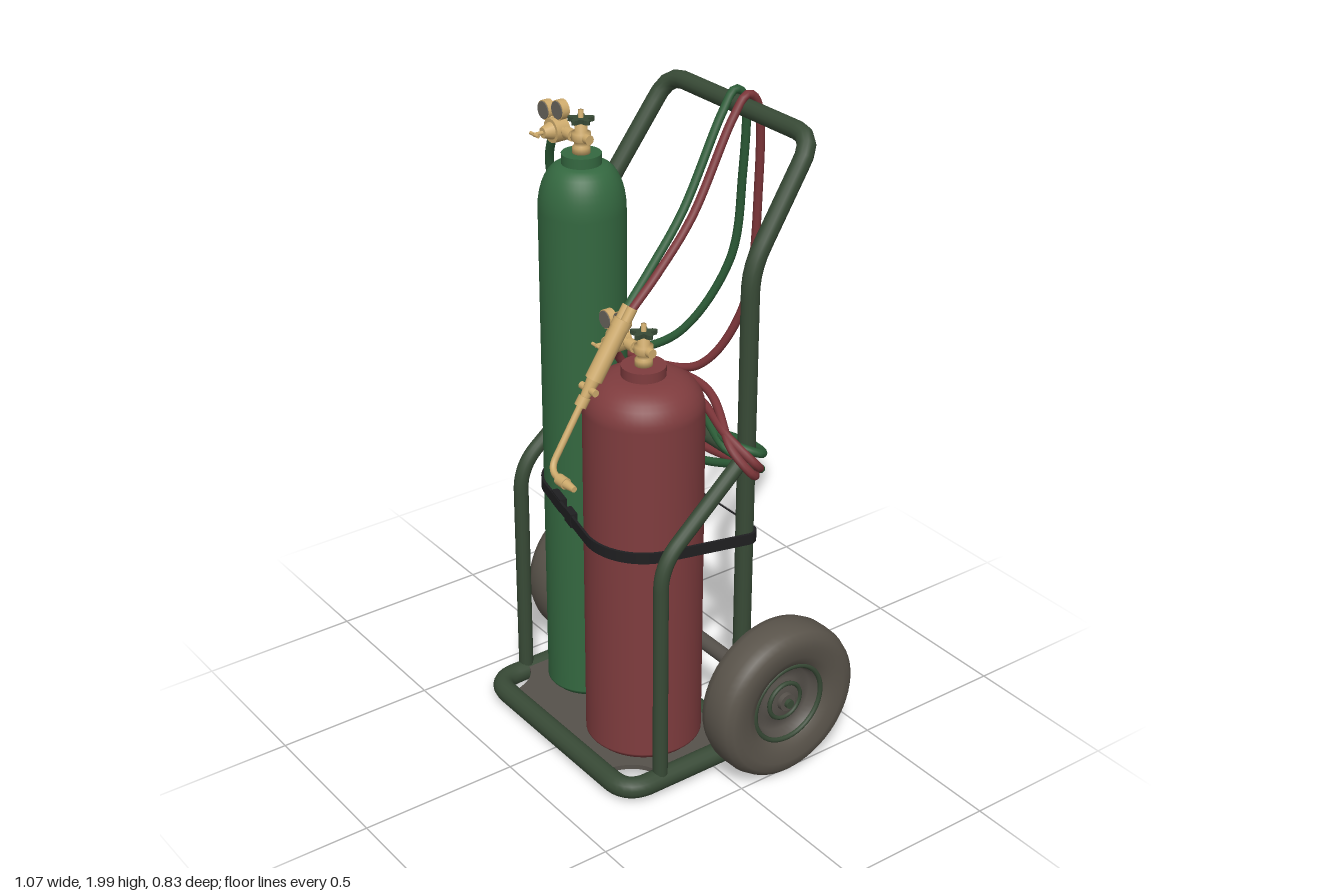
import * as THREE from 'three';

const mat = (name, color) => {
  const m = new THREE.MeshStandardMaterial({ color });
  m.name = name;
  return m;
};
const M = {
  frame: mat('frame green', 0x384a36),
  green: mat('cylinder green', 0x346840),
  red: mat('cylinder red', 0x7f3c3e),
  hoseGreen: mat('hose green', 0x2c5c37),
  hoseRed: mat('hose red', 0x7c3539),
  brass: mat('brass', 0xcdaa6c),
  tyre: mat('tyre grey', 0x5a544b),
  plate: mat('plate grey', 0x56514b),
  black: mat('strap black', 0x1f1f21),
  dial: mat('dial grey', 0x6a665e),
};
const V = (x, y, z) => new THREE.Vector3(x, y, z);

function add(parent, name, geo, material, pos = [0, 0, 0], rot = [0, 0, 0]) {
  const m = new THREE.Mesh(geo, material);
  m.name = name;
  m.position.set(...pos);
  m.rotation.set(...rot);
  parent.add(m);
  return m;
}

// Straight rod between two points
function rod(parent, name, a, b, r, material, r2 = r) {
  const d = b.clone().sub(a);
  const m = add(parent, name, new THREE.CylinderGeometry(r2, r, d.length(), 16), material);
  m.position.copy(a).addScaledVector(d, 0.5);
  m.quaternion.setFromUnitVectors(V(0, 1, 0), d.normalize());
  return m;
}

// Pipe through corner points, each corner rounded by a bend
function pipe(parent, name, pts, r, bend, material, closed = false) {
  const path = new THREE.CurvePath();
  const n = pts.length;
  const toward = (p, q) => p.clone().add(q.clone().sub(p).setLength(bend));
  let first = null, last = closed ? null : pts[0];
  for (let i = closed ? 0 : 1; i < (closed ? n : n - 1); i++) {
    const p = pts[i], a = toward(p, pts[(i + n - 1) % n]), b = toward(p, pts[(i + 1) % n]);
    if (last) path.add(new THREE.LineCurve3(last, a));
    else first = a;
    path.add(new THREE.QuadraticBezierCurve3(a, p, b));
    last = b;
  }
  path.add(new THREE.LineCurve3(last, closed ? first : pts[n - 1]));
  return add(parent, name, new THREE.TubeGeometry(path, 140, r, 14, closed), material);
}

function hose(parent, name, pts, material) {
  const curve = new THREE.CatmullRomCurve3(pts.map(p => V(...p)), false, 'centripetal');
  add(parent, name, new THREE.TubeGeometry(curve, 360, 0.013, 10), material);
}

const lathe = (pts, seg = 40) => new THREE.LatheGeometry(pts.map(p => new THREE.Vector2(...p)), seg);

// Gas bottle: straight wall, domed shoulder, neck collar
function bottle(parent, name, x, z, r, shoulder, top, neckR, material) {
  const pts = [[0, 0.07], [r - 0.015, 0.07], [r, 0.085], [r, 0.09], [r, shoulder]];
  for (let i = 1; i <= 8; i++) {
    const a = (i / 8) * Math.PI / 2;
    pts.push([neckR + (r - neckR) * Math.cos(a), shoulder + (top - shoulder) * Math.sin(a)]);
  }
  add(parent, name, lathe(pts, 48), material, [x, 0, z]);
  add(parent, name + ' neck', new THREE.CylinderGeometry(neckR, neckR, 0.04, 28), material, [x, top + 0.01, z]);
}

// Valve with star knob, regulator and two gauges; origin at the neck top
function valveSet(parent, name, x, y, z) {
  const g = new THREE.Group();
  g.name = name;
  g.position.set(x, y, z);
  parent.add(g);
  add(g, 'valve stem', lathe([[0, 0], [0.026, 0], [0.026, 0.02], [0.02, 0.025], [0.02, 0.035], [0.028, 0.04],
    [0.028, 0.062], [0.018, 0.066], [0.018, 0.09], [0.008, 0.095], [0.008, 0.128], [0, 0.128]], 20), M.brass);
  const star = new THREE.Shape();
  for (let i = 0; i < 40; i++) {
    const a = i / 40 * Math.PI * 2, r = 0.03 + 0.01 * Math.cos(5 * a);
    star[i ? 'lineTo' : 'moveTo'](r * Math.cos(a), r * Math.sin(a));
  }
  add(g, 'star knob', new THREE.ExtrudeGeometry(star, { depth: 0.013, bevelEnabled: false }), M.frame,
    [0, 0.093, 0], [-Math.PI / 2, 0, 0]);
  rod(g, 'valve outlet', V(0, 0.04, 0), V(-0.12, 0.04, 0), 0.011, M.brass);
  rod(g, 'outlet nut', V(-0.04, 0.04, 0), V(-0.07, 0.04, 0), 0.018, M.brass);
  rod(g, 'valve cap', V(0.02, 0.05, 0), V(0.042, 0.05, 0), 0.014, M.brass);
  rod(g, 'regulator body', V(-0.12, 0.035, -0.022), V(-0.12, 0.035, 0.022), 0.036, M.brass);
  rod(g, 'regulator bonnet', V(-0.12, 0.035, 0.022), V(-0.12, 0.035, 0.05), 0.026, M.brass, 0.016);
  rod(g, 'adjusting screw', V(-0.12, 0.035, 0.05), V(-0.12, 0.035, 0.08), 0.006, M.brass);
  rod(g, 'screw bar', V(-0.14, 0.035, 0.077), V(-0.1, 0.035, 0.077), 0.005, M.brass);
  rod(g, 'hose outlet', V(-0.12, 0.035, 0), V(-0.148, 0, 0), 0.012, M.brass);
  for (const [gx, gy] of [[-0.17, 0.08], [-0.1, 0.1]]) {
    rod(g, 'gauge stem', V(-0.12, 0.035, 0), V(gx, gy, 0), 0.008, M.brass);
    rod(g, 'gauge case', V(gx, gy, -0.012), V(gx, gy, 0.012), 0.029, M.brass);
    rod(g, 'gauge face', V(gx, gy, 0.01), V(gx, gy, 0.015), 0.026, M.dial);
  }
}

function wheel(parent, side) {
  const g = new THREE.Group();
  g.name = side > 0 ? 'left wheel' : 'right wheel';
  g.position.set(side * 0.46, 0.257, -0.162);
  g.rotation.z = -side * Math.PI / 2;
  parent.add(g);
  const half = [[0.125, 0.045], [0.135, 0.058], [0.16, 0.068], [0.195, 0.074], [0.222, 0.07], [0.24, 0.056], [0.249, 0.03]];
  add(g, 'tyre', lathe([...half.map(([r, y]) => [r, -y]), [0.25, 0], ...half.reverse()], 56), M.tyre);
  for (const s of [1, -1]) {
    const prof = [[0.13, 0.05], [0.115, 0.046], [0.105, 0.02], [0.07, 0.02], [0.055, 0.035], [0, 0.035]];
    const pts = prof.map(([r, y]) => [r, s * y]);
    add(g, 'rim', lathe(s > 0 ? pts : pts.reverse(), 40), M.plate);
    add(g, 'rim lip', new THREE.TorusGeometry(0.125, 0.008, 8, 40), M.frame, [0, s * 0.049, 0], [Math.PI / 2, 0, 0]);
    add(g, 'hub ring', new THREE.TorusGeometry(0.058, 0.007, 8, 32), M.frame, [0, s * 0.034, 0], [Math.PI / 2, 0, 0]);
  }
  add(g, 'hub', new THREE.CylinderGeometry(0.028, 0.032, 0.1, 24), M.plate);
  add(g, 'hub cap', new THREE.CylinderGeometry(0.014, 0.014, 0.124, 16), M.frame);
}

// Strap outline: the tightest loop round a set of circles [x, z, radius]
function wrap(circles, offset, PathType) {
  const path = new PathType();
  for (let i = 0; i < 96; i++) {
    const a = (i + 0.5) / 96 * Math.PI * 2, c = Math.cos(a), s = Math.sin(a);
    const reach = k => k[0] * c + k[1] * s + k[2];
    const k = circles.reduce((p, q) => (reach(q) > reach(p) ? q : p));
    const r = k[2] + offset;
    path[i ? 'lineTo' : 'moveTo'](k[0] + r * c, -(k[1] + r * s));
  }
  path.closePath();
  return path;
}

export function createModel() {
  const root = new THREE.Group();
  root.name = 'gas welding cart';

  // Tubular frame
  pipe(root, 'handle frame', [V(-0.348, 0.045, -0.11), V(-0.348, 1.62, -0.11), V(-0.325, 1.945, -0.335),
    V(0.325, 1.945, -0.335), V(0.348, 1.62, -0.11), V(0.348, 0.045, -0.11)], 0.027, 0.07, M.frame);
  pipe(root, 'base ring', [V(-0.358, 0.047, 0.32), V(0.358, 0.047, 0.32), V(0.358, 0.047, -0.11),
    V(-0.358, 0.047, -0.11)], 0.033, 0.08, M.frame, true);
  for (const s of [1, -1]) {
    pipe(root, 'side strut', [V(s * 0.36, 0.05, 0.2), V(s * 0.36, 0.79, 0.2), V(s * 0.35, 1.05, -0.11)],
      0.023, 0.08, M.frame);
    wheel(root, s);
  }
  rod(root, 'cross bar', V(-0.348, 1.03, -0.11), V(0.348, 1.03, -0.11), 0.02, M.frame);
  rod(root, 'axle', V(-0.47, 0.257, -0.162), V(0.47, 0.257, -0.162), 0.024, M.plate);

  // Floor plate with scooped front corners
  const floor = new THREE.Shape();
  floor.moveTo(-0.358, 0.11);
  floor.lineTo(-0.358, -0.2);
  floor.quadraticCurveTo(-0.27, -0.21, -0.25, -0.32);
  floor.lineTo(0.25, -0.32);
  floor.quadraticCurveTo(0.27, -0.21, 0.358, -0.2);
  floor.lineTo(0.358, 0.11);
  add(root, 'floor plate', new THREE.ExtrudeGeometry(floor, { depth: 0.015, bevelEnabled: false }), M.plate,
    [0, 0.055, 0], [-Math.PI / 2, 0, 0]);

  // Gas bottles with their valves
  bottle(root, 'tall bottle', -0.19, 0.075, 0.127, 1.67, 1.805, 0.058, M.green);
  bottle(root, 'short bottle', 0.14, 0.1, 0.176, 1.18, 1.28, 0.065, M.red);
  valveSet(root, 'tall bottle valve', -0.19, 1.833, 0.075);
  valveSet(root, 'short bottle valve', 0.14, 1.308, 0.1);

  // Strap and buckle
  const circles = [[-0.19, 0.075, 0.127], [0.14, 0.1, 0.176], [-0.348, -0.11, 0.027], [0.348, -0.11, 0.027]];
  const band = wrap(circles, 0.008, THREE.Shape);
  band.holes.push(wrap(circles, 0, THREE.Path));
  add(root, 'strap', new THREE.ExtrudeGeometry(band, { depth: 0.034, bevelEnabled: false }), M.black,
    [0, 0.765, 0], [-Math.PI / 2, 0, 0]);
  for (const [x, z, w] of [[-0.13, 0.214, 0.07], [-0.03, 0.24, 0.05]])
    add(root, 'buckle', new THREE.BoxGeometry(w, 0.044, 0.022), M.black, [x, 0.782, z], [0, -0.23, 0]);

  // Hoses: from regulator, coiled round the uprights, over the handle to the torch
  hose(root, 'green hose', [[-0.338, 1.833, 0.075], [-0.375, 1.75, 0.06], [-0.4, 1.5, 0], [-0.4, 1.3, -0.07],
    [-0.375, 1.13, -0.15], [-0.25, 1.04, -0.19], [0, 0.98, -0.2], [0.3, 1.03, -0.18], [0.39, 1.06, -0.13],
    [0.34, 1.09, -0.065], [0.14, 1.09, -0.097], [-0.2, 1.08, -0.09], [-0.35, 1.06, -0.065], [-0.395, 1.03, -0.11],
    [-0.3, 0.95, -0.18], [0, 0.88, -0.16], [0.3, 0.97, -0.17], [0.395, 1.02, -0.12], [0.33, 1.07, -0.055],
    [0.1, 1.12, -0.105], [-0.25, 1.11, -0.085], [-0.385, 1.1, -0.1], [-0.33, 1.09, -0.18], [-0.2, 1.17, -0.28],
    [-0.09, 1.42, -0.385], [-0.05, 1.7, -0.395], [-0.02, 1.96, -0.37], [-0.018, 1.985, -0.335], [-0.01, 1.93, -0.285],
    [0.025, 1.68, -0.12], [0.06, 1.55, 0.02], [0.083, 1.47, 0.115]], M.hoseGreen);
  hose(root, 'red hose', [[-0.008, 1.308, 0.1], [-0.035, 1.27, 0.07], [-0.05, 1.2, 0.02], [-0.09, 1.13, -0.075],
    [-0.25, 1.12, -0.09], [-0.36, 1.11, -0.06], [-0.4, 1.06, -0.1], [-0.34, 1, -0.165], [0, 0.92, -0.185],
    [0.33, 0.98, -0.165], [0.405, 1.04, -0.1], [0.32, 1.11, -0.06], [0.14, 1.14, -0.1], [-0.2, 1.15, -0.1],
    [-0.35, 1.08, -0.055], [-0.4, 1, -0.11], [-0.3, 1, -0.19], [0, 1.05, -0.17], [0.3, 1, -0.15],
    [0.41, 1.01, -0.09], [0.36, 1.08, -0.05], [0.15, 1.17, -0.12], [-0.25, 1.13, -0.1], [-0.385, 1.1, -0.12],
    [-0.3, 1.07, -0.2], [-0.1, 1.1, -0.28], [0, 1.3, -0.365], [0.025, 1.7, -0.395], [0.035, 1.96, -0.372],
    [0.037, 1.985, -0.335], [0.04, 1.93, -0.285], [0.07, 1.68, -0.12], [0.095, 1.55, 0.02], [0.105, 1.47, 0.115]], M.hoseRed);

  // Torch
  const torch = new THREE.Group();
  torch.name = 'torch';
  root.add(torch);
  const a = V(0.094, 1.465, 0.12), b = V(0.094, 1.215, 0.287);
  const at = t => a.clone().lerp(b, t);
  for (const dx of [-0.012, 0.012])
    rod(torch, 'hose fitting', at(-0.04).add(V(dx, 0, 0)), at(0.14).add(V(dx, 0, 0)), 0.015, M.brass);
  rod(torch, 'torch collar', at(0.1), at(0.18), 0.028, M.brass);
  rod(torch, 'torch handle', at(0.18), at(0.72), 0.026, M.brass);
  rod(torch, 'torch neck', at(0.72), at(0.9), 0.02, M.brass, 0.014);
  rod(torch, 'mixer nut', at(0.9), at(1), 0.018, M.brass);
  rod(torch, 'valve knob', at(0.82).add(V(-0.035, 0, 0)), at(0.82).add(V(0.035, 0, 0)), 0.011, M.brass);
  pipe(torch, 'torch tube', [b, V(0.1, 1.05, 0.397), V(0.16, 1.045, 0.4)], 0.01, 0.04, M.brass);
  rod(torch, 'tip nut', V(0.15, 1.045, 0.4), V(0.185, 1.045, 0.4), 0.017, M.brass);
  rod(torch, 'tip', V(0.185, 1.045, 0.4), V(0.225, 1.045, 0.4), 0.014, M.brass, 0.009);
  return root;
}
